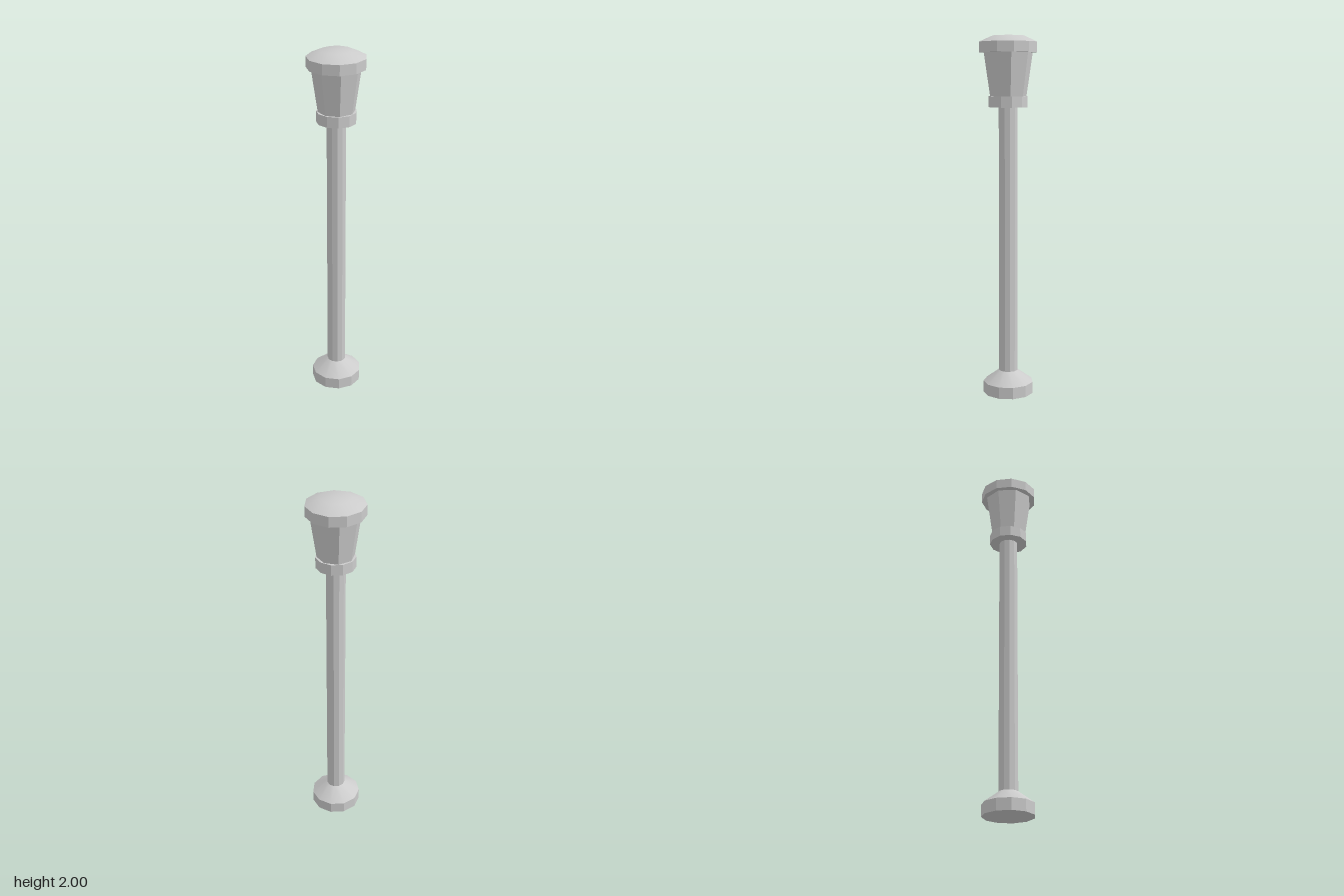
import * as THREE from 'three';
import { toCreasedNormals } from 'three/addons/utils/BufferGeometryUtils.js';

const material = new THREE.MeshStandardMaterial({ color: 0xcccccc });

// Faceted turned part from [radius, height] pairs, listed bottom to top
function turned(name, profile, sides = 11) {
  const points = profile.map(([r, y]) => new THREE.Vector2(r, y));
  const lathe = new THREE.LatheGeometry(points, sides);
  lathe.rotateY(Math.PI);
  const mesh = new THREE.Mesh(toCreasedNormals(lathe, Math.PI / 6), material);
  mesh.name = name;
  return mesh;
}

export function createModel() {
  const lamp = new THREE.Group();
  lamp.name = 'lampPost';

  lamp.add(
    // Foot with a sloped shoulder that meets the pole
    turned('base', [[0, 0], [0.141, 0], [0.141, 0.065], [0.0525, 0.13]]),
    turned('pole', [[0.0525, 0.13], [0.0525, 1.615]]),
    // Ring that carries the lantern
    turned('collar', [[0, 1.615], [0.108, 1.615], [0.108, 1.675], [0, 1.675]]),
    // Eight-sided glass, wider at the top
    turned('lantern', [[0.1, 1.675], [0.134, 1.91]], 8),
    // Lid with a softly bevelled top
    turned('cap', [[0, 1.91], [0.159, 1.91], [0.159, 1.967], [0.085, 2], [0, 2]])
  );

  // An odd number of sides is deeper towards the back, so shift to centre it
  lamp.position.z = 0.003;
  return lamp;
}
